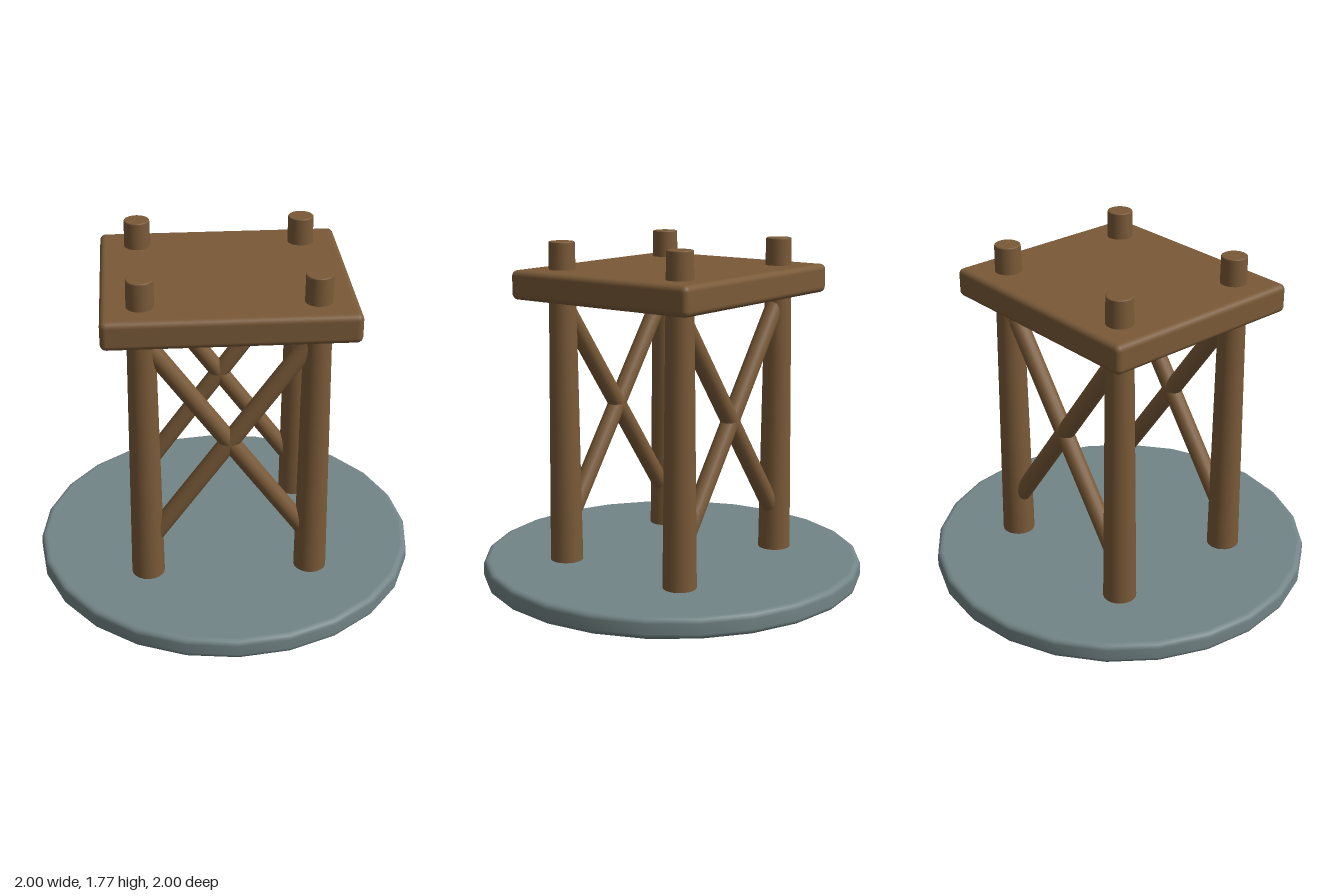
import * as THREE from 'three';
import { RoundedBoxGeometry } from 'three/addons/geometries/RoundedBoxGeometry.js';

const LEG_X = 0.425, LEG_Z = 0.372;

// Closed, turned solid with rounded rims; bottom and top radius may differ
function roundedDisc(rBottom, rTop, y0, y1, bevel, sides) {
  const pts = [new THREE.Vector2(0, y0), new THREE.Vector2(rBottom - bevel - 0.001, y0)];
  const rim = (r, y, start) => {
    for (let i = 0; i <= 4; i++) {
      const a = start + (i / 4) * Math.PI / 2;
      pts.push(new THREE.Vector2(r - bevel + bevel * Math.cos(a), y + bevel * Math.sin(a)));
    }
  };
  rim(rBottom, y0 + bevel, -Math.PI / 2);
  rim(rTop, y1 - bevel, 0);
  pts.push(new THREE.Vector2(rTop - bevel - 0.001, y1), new THREE.Vector2(0, y1));
  return new THREE.LatheGeometry(pts, sides);
}

export function createModel() {
  const group = new THREE.Group();
  const wood = new THREE.MeshStandardMaterial({ color: 0x7a5a38 });
  wood.name = 'brown wood';
  const stone = new THREE.MeshStandardMaterial({ color: 0x738587 });
  stone.name = 'grey stone';

  const add = (name, geometry, material, x = 0, y = 0, z = 0) => {
    const mesh = new THREE.Mesh(geometry, material);
    mesh.name = name;
    mesh.position.set(x, y, z);
    group.add(mesh);
    return mesh;
  };

  // Round base slab
  add('base', roundedDisc(1, 1, 0, 0.108, 0.028, 24), stone);

  // Platform
  add('platform', new RoundedBoxGeometry(1.236, 0.148, 1.104, 4, 0.03), wood, 0, 1.56, 0);

  // Tapered legs that run up through the platform
  const legGeometry = roundedDisc(0.086, 0.066, 0.05, 1.775, 0.006, 20);
  for (const x of [-LEG_X, LEG_X])
    for (const z of [-LEG_Z, LEG_Z]) add('leg', legGeometry, wood, x, 0, z);

  // Crossed braces on the front and back
  const rise = 0.59;
  const braceGeometry = new THREE.CylinderGeometry(0.047, 0.047, 2 * Math.hypot(LEG_X, rise), 16);
  for (const z of [-LEG_Z, LEG_Z])
    for (const side of [-1, 1]) {
      const brace = add('brace', braceGeometry, wood, 0, 0.875, z);
      brace.rotation.z = side * Math.atan2(LEG_X, rise);
    }

  return group;
}
